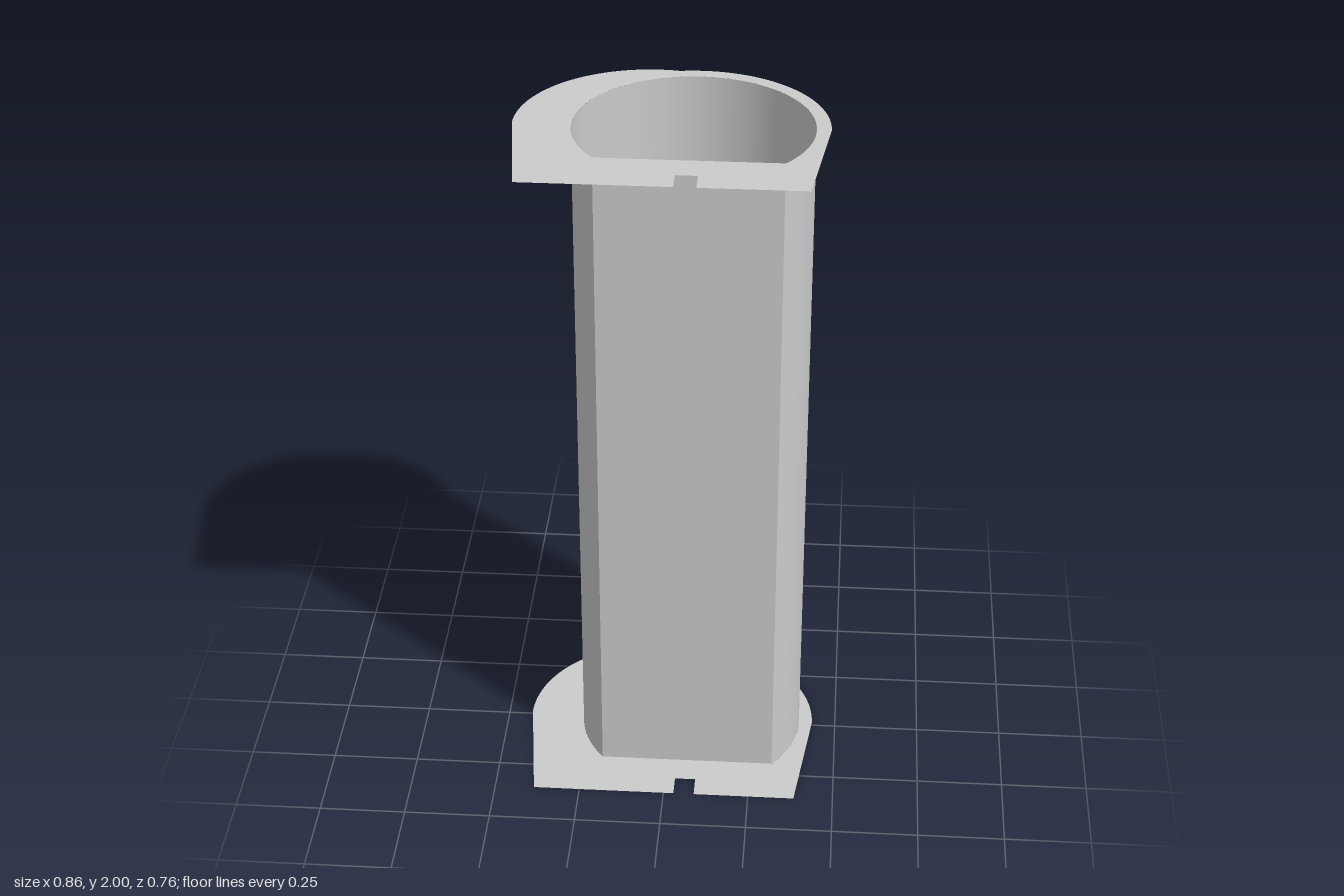
import * as THREE from 'three';

const HEIGHT = 2;
const BORE_X = 0.06, BORE_R = 0.33, FLAT = 0.21; // D-shaped bore, flat side to the front
const RIM_R = 0.37, FRONT = 0.37;
const LEAN = 0.0115, BASE_Z = -0.012; // z gained per unit of height, z of the bore at the base

// Flange outline in plan (shape y = -z), around the bore's centre line
function flangeShape() {
  const dip = Math.acos(-BORE_X / RIM_R);
  const shape = new THREE.Shape();
  shape.moveTo(-0.385, -FRONT);
  // key notch in the front edge
  shape.lineTo(0.03, -FRONT);
  shape.lineTo(0.03, -0.3);
  shape.lineTo(0.09, -0.3);
  shape.lineTo(0.09, -FRONT);
  shape.lineTo(0.385, -FRONT);
  // two overlapping lobes at the back
  shape.absarc(BORE_X, 0, RIM_R, 0, dip, false);
  shape.absarc(-BORE_X, 0, RIM_R, Math.PI - dip, Math.PI, false);
  shape.closePath();

  const bore = new THREE.Path();
  const a = Math.asin(FLAT / BORE_R);
  bore.absarc(BORE_X, 0, BORE_R, -a, Math.PI + a, false);
  bore.closePath();
  shape.holes.push(bore);
  return shape;
}

export function createModel() {
  const model = new THREE.Group();
  const material = new THREE.MeshStandardMaterial({ color: 0xcccccc, side: THREE.DoubleSide });
  const lean = new THREE.Matrix4().makeShear(0, 0, 0, LEAN, 0, 0);

  const add = (name, geometry) => {
    const mesh = new THREE.Mesh(geometry, material);
    mesh.name = name;
    model.add(mesh);
  };

  // Thin flanges at both ends
  for (const [name, y] of [['bottomFlange', 0], ['topFlange', HEIGHT]]) {
    const plate = new THREE.ShapeGeometry(flangeShape(), 48);
    plate.rotateX(-Math.PI / 2).translate(0, y, BASE_Z + LEAN * y);
    add(name, plate);
  }

  // Round part of the leaning tube
  const half = Math.acos(FLAT / BORE_R);
  const round = new THREE.CylinderGeometry(BORE_R, BORE_R, HEIGHT, 64, 1, true, half, 2 * (Math.PI - half));
  round.translate(BORE_X, HEIGHT / 2, 0).applyMatrix4(lean).translate(0, 0, BASE_Z);
  add('roundWall', round);

  // Flat front of the tube
  const flat = new THREE.PlaneGeometry(2 * BORE_R * Math.sin(half), HEIGHT);
  flat.translate(BORE_X, HEIGHT / 2, FLAT).applyMatrix4(lean).translate(0, 0, BASE_Z);
  add('flatWall', flat);

  return model;
}
